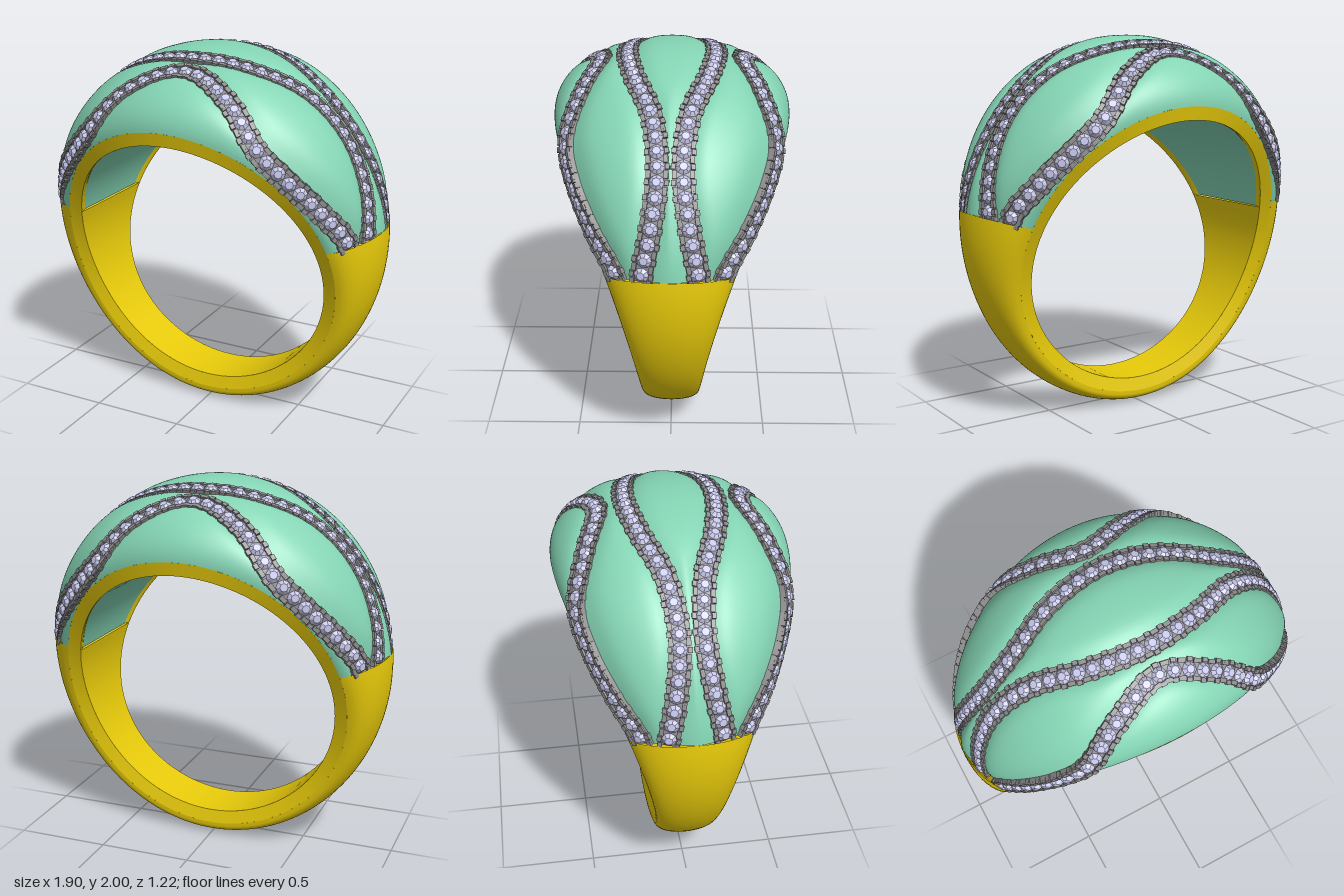
import * as THREE from 'three';
import { mergeGeometries } from 'three/addons/utils/BufferGeometryUtils.js';

const CY = 0.86, R_IN = 0.72, R_EDGE = 0.79;    // hole centre height, hole radius, rim radius
const JOIN = THREE.MathUtils.degToRad(15);      // where the enamel crown meets the shank
const PI = Math.PI;

const paint = (color, flatShading = false) =>
  new THREE.MeshStandardMaterial({ color, flatShading, side: THREE.DoubleSide });

// Ring proportions by angle a (0 = right side, 90 degrees = top)
const outerR = a => 0.94 + 0.14 * Math.sin(a) + 0.06 * Math.sin(a) ** 2;
const halfW = a => 0.255 + 0.2275 * Math.sin(a) + 0.1275 * Math.sin(a) ** 2;
const polar = (a, r, z) => new THREE.Vector3(r * Math.cos(a), CY + r * Math.sin(a), z);

// Wavy stone rows: z at every 15 degrees away from the top, mirrored left and right
const waves = [
  [0.225, 0.185, 0.09, 0.06, 0.09, 0.135],
  [0.36, 0.44, 0.51, 0.465, 0.37, 0.25],
].map(v => new THREE.SplineCurve([...v.slice(1).reverse(), ...v].map((z, i) => new THREE.Vector2(i, z))));
const waveZ = (wave, a) => wave.getPoint(THREE.MathUtils.clamp((a - JOIN) / (PI - 2 * JOIN), 0, 1)).y;

// Domed outer skin; grooves sink the enamel beneath the stone rows
function skin(a, z, groove = 0) {
  const u = Math.min(1, Math.abs(z) / halfW(a));
  const e = THREE.MathUtils.mapLinear(Math.min(Math.sin(a), 0.25), -1, 0.25, 0.6, 1);
  let r = R_EDGE + (outerR(a) - R_EDGE) * Math.pow(Math.max(0, 1 - u * u), e / 2);
  if (groove) {
    const fade = 1 - u ** 12;
    for (const w of waves) r -= groove * fade * Math.exp(-(((Math.abs(z) - waveZ(w, a)) / 0.07) ** 2));
  }
  return polar(a, r, z);
}

function skinNormal(a, z) {
  const h = 0.004;
  const da = skin(a + h, z).sub(skin(a - h, z));
  const dz = skin(a, z + h).sub(skin(a, z - h));
  return da.cross(dz).normalize().multiplyScalar(-1);
}

// Grid surface from a function of (u, v)
function patch(fn, nu, nv) {
  const pos = [], idx = [];
  for (let i = 0; i <= nu; i++)
    for (let j = 0; j <= nv; j++) pos.push(...fn(i / nu, j / nv).toArray());
  for (let i = 0; i < nu; i++)
    for (let j = 0; j < nv; j++) {
      const p = i * (nv + 1) + j, q = p + nv + 1;
      idx.push(p, q, p + 1, q, q + 1, p + 1);
    }
  const g = new THREE.BufferGeometry();
  g.setAttribute('position', new THREE.Float32BufferAttribute(pos, 3));
  g.setIndex(idx);
  g.computeVertexNormals();
  return g;
}

export function createModel() {
  const model = new THREE.Group();
  const add = (name, geo, mat, parent = model) => {
    const m = new THREE.Mesh(geo, mat);
    m.name = name;
    parent.add(m);
  };
  const gold = paint(0xe8cb0a), enamel = paint(0x84d4b4);
  const metal = paint(0x8c8a8c, true), stone = paint(0xc6c6ea, true);

  const upper = u => JOIN + u * (PI - 2 * JOIN);
  const lower = u => JOIN - u * (PI + 2 * JOIN);
  const innerW = a => halfW(a) - 0.015;

  // Gold shank: outer skin and inner face
  add('shankOuter', patch((u, v) => {
    const a = lower(u);
    return skin(a, halfW(a) * Math.sin((v - 0.5) * PI));
  }, 90, 24), gold);
  add('shankInner', patch((u, v) => {
    const a = lower(u);
    return polar(a, R_IN, innerW(a) * (1 - 2 * v));
  }, 60, 2), gold);

  // Gold side rims all round, with a narrow lip inside the crown
  for (const s of [1, -1]) {
    const side = s > 0 ? 'front' : 'back';
    add(side + 'Rim', patch((u, v) => {
      const a = -PI / 2 + u * 2 * PI * s;
      return polar(a, R_IN + v * (R_EDGE - R_IN), s * (innerW(a) + v * 0.015));
    }, 120, 1), gold);
    add(side + 'InnerLip', patch((u, v) => {
      const a = upper(u);
      return polar(a, R_IN + 0.012 * v ** 2, s * (innerW(a) - 0.05 * v));
    }, 60, 2), gold);
  }

  // Enamel crown: pillowed dome and its lining
  add('crownDome', patch((u, v) => {
    const a = upper(u);
    return skin(a, halfW(a) * Math.sin((v - 0.5) * PI), 0.032);
  }, 120, 80), enamel);
  add('crownLining', patch((u, v) => {
    const a = upper(u);
    return polar(a, R_IN + 0.01, (innerW(a) - 0.045) * (1 - 2 * v));
  }, 60, 2), enamel);

  // Round faceted stone, axis along y
  const gem = new THREE.CylinderGeometry(0.02, 0.037, 0.018, 8);
  const bead = new THREE.BoxGeometry(0.027, 0.03, 0.022);

  // Four stone rows, each a setting strip, edge beads and stones
  waves.forEach((wave, k) => [1, -1].forEach(s => {
    const row = new THREE.Group();
    row.name = (s > 0 ? 'front' : 'back') + (k ? 'OuterRow' : 'InnerRow');
    model.add(row);

    const pts = [];
    for (let i = 0; i <= 120; i++) {
      const a = upper(i / 120);
      pts.push(skin(a, s * waveZ(wave, a), 0.032));
    }
    const path = new THREE.CatmullRomCurve3(pts);
    path.arcLengthDivisions = 600;

    // Frame on the row: x along it, y out of the skin, z across
    const frame = u => {
      const a = upper(path.getUtoTmapping(u));
      const t = path.getTangentAt(u);
      const n = skinNormal(a, s * waveZ(wave, a));
      if (n.dot(polar(a, 1, 0).sub(polar(a, 0, 0))) < 0) n.negate();
      n.addScaledVector(t, -n.dot(t)).normalize();
      return new THREE.Matrix4().makeBasis(t, n, t.clone().cross(n)).setPosition(path.getPointAt(u));
    };
    const place = (geo, m, y, z, x = 0) =>
      geo.clone().applyMatrix4(m.clone().multiply(new THREE.Matrix4().makeTranslation(x, y, z)));

    const section = [[-0.04, -0.056], [0.012, -0.054], [0.012, 0.054], [-0.04, 0.056]];
    add('settingStrip', patch((u, v) => {
      const [y, z] = section[Math.round(v * 3)];
      return new THREE.Vector3(0, y, z).applyMatrix4(frame(u));
    }, 90, 3), metal, row);

    const count = Math.round(path.getLength() / 0.074);
    const gems = [], beads = [];
    for (let i = 0; i < count; i++) {
      gems.push(place(gem, frame((i + 0.5) / count), 0.022, 0));
      for (const f of [0.08, 0.5, 0.92])
        for (const z of [-1, 1])
          beads.push(place(bead, frame((i + f) / count), 0.008, z * (f === 0.5 ? 0.048 : 0.042)));
    }
    add('stones', mergeGeometries(gems), stone, row);
    add('beads', mergeGeometries(beads), metal, row);
  }));

  return model;
}
